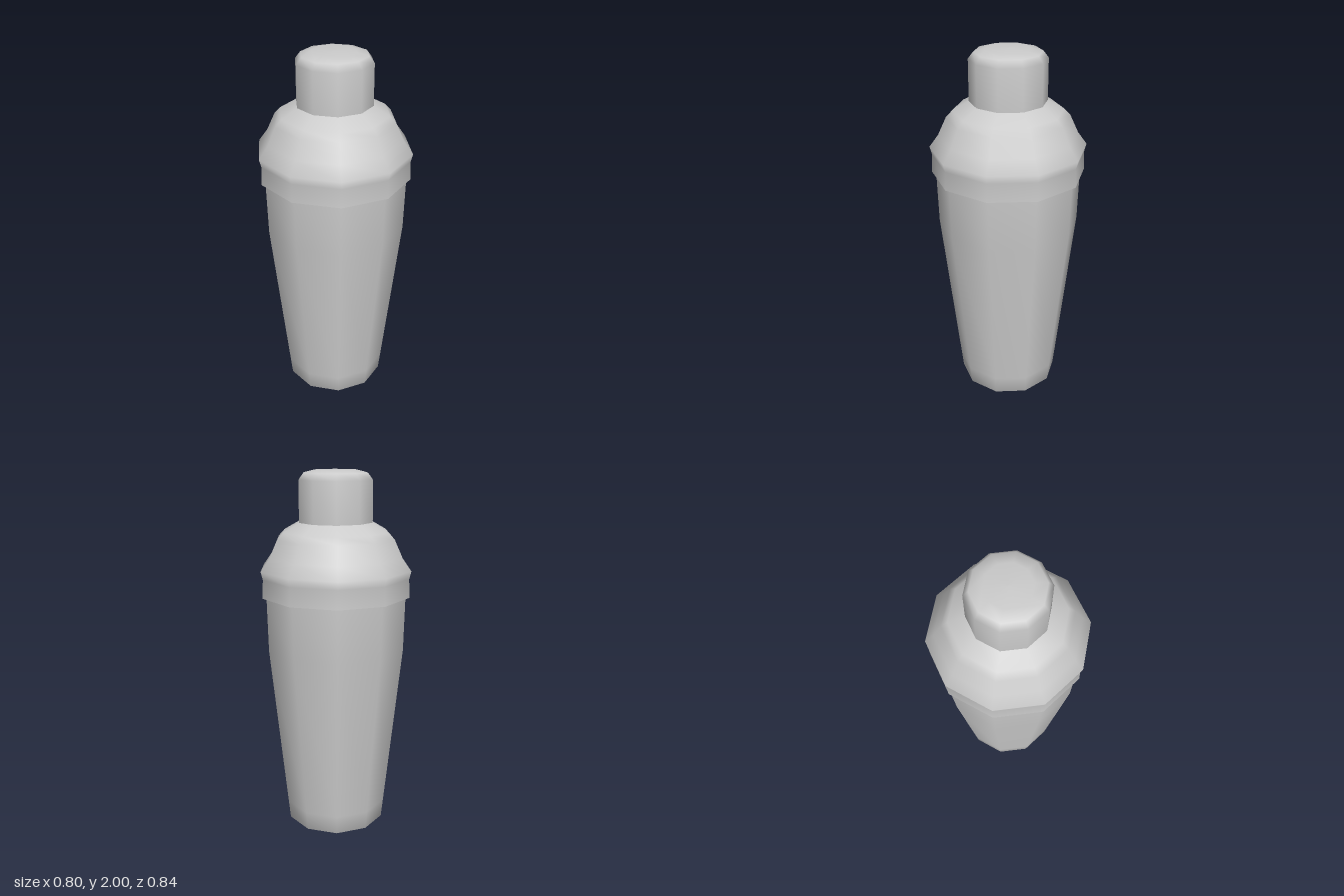
import * as THREE from 'three';

const SIDES = 10;

export function createModel() {
  const group = new THREE.Group();
  group.name = 'cocktailShaker';
  const material = new THREE.MeshStandardMaterial({ color: 0xcccccc, side: THREE.DoubleSide });

  // Turns a [radius, height] profile, listed from bottom to top, about the y axis
  const turn = (name, profile) => {
    const points = profile.map(([r, y]) => new THREE.Vector2(r, y));
    const mesh = new THREE.Mesh(new THREE.LatheGeometry(points, SIDES), material);
    mesh.name = name;
    group.add(mesh);
  };

  // Tapered cup, with its base softly shaded into the wall
  turn('cup', [[0, 0], [0.25, 0], [0.281, 0.003], [0.292, 0.11], [0.386, 1.04], [0.392, 1.34]]);

  // Underside of the lid rim, kept separate for a sharp edge
  turn('rimUnderside', [[0.385, 1.335], [0.414, 1.334]]);

  // Strainer lid: flared collar and rounded shoulder
  turn('lid', [
    [0.414, 1.334], [0.409, 1.435], [0.42, 1.478], [0.371, 1.545],
    [0.326, 1.642], [0.292, 1.678], [0.205, 1.727],
  ]);

  // Small cap with a bevelled top
  turn('cap', [[0.205, 1.725], [0.204, 1.947], [0.177, 1.982], [0.115, 1.997], [0, 2]]);

  return group;
}
